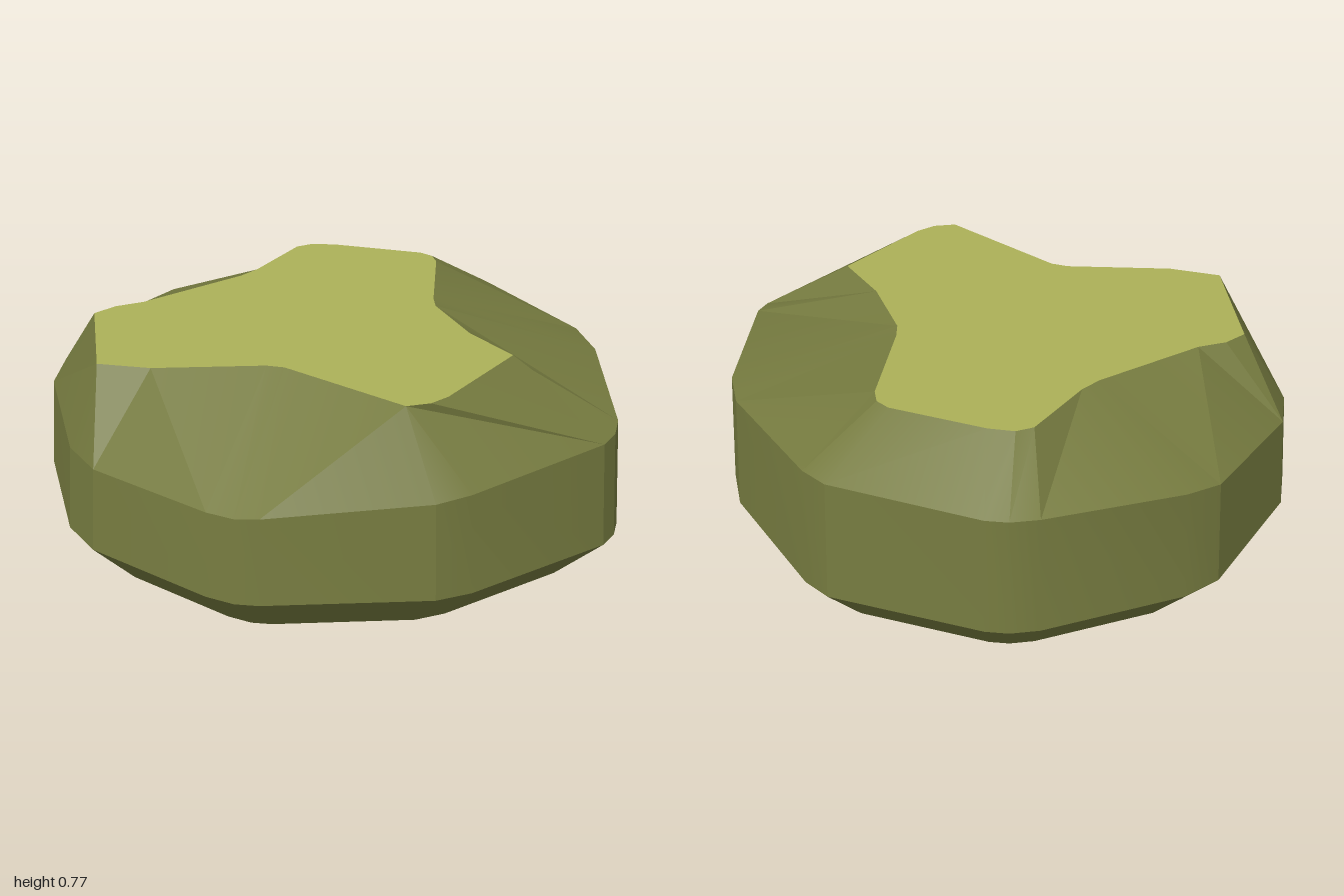
import * as THREE from 'three';
import { toCreasedNormals } from 'three/addons/utils/BufferGeometryUtils.js';

// Widest outline of the boulder: x, z, and height of the shoulder above it
const OUTLINE = [
  [-0.1, -0.97, 0.585], [0, -0.985, 0.585], [0.08, -0.975, 0.585],
  [0.6, -0.79, 0.6], [0.68, -0.71, 0.6], [0.96, -0.24, 0.585], [1, -0.06, 0.575],
  [0.975, 0.5, 0.55], [0.95, 0.58, 0.54], [0.9, 0.65, 0.535], [0.42, 0.94, 0.51],
  [0.3, 0.98, 0.5], [-0.26, 0.985, 0.465], [-0.34, 0.97, 0.46], [-0.43, 0.92, 0.46],
  [-0.81, 0.6, 0.46], [-0.9, 0.44, 0.465], [-1, -0.06, 0.49], [-0.97, -0.24, 0.5],
  [-0.7, -0.7, 0.54], [-0.58, -0.79, 0.56],
];

// Top plateau: x, z, and the first shoulder point each corner slopes down to
const PLATEAU = [
  [-0.08, -0.69, 0], [-0.02, -0.715, 1], [0.07, -0.7, 2], [0.39, -0.58, 3],
  [0.43, -0.54, 3], [0.44, -0.48, 4], [0.39, -0.1, 5], [0.39, -0.03, 6],
  [0.48, 0.23, 7], [0.6, 0.43, 8], [0.35, 0.74, 9], [0.29, 0.785, 9],
  [0.21, 0.8, 9], [-0.16, 0.47, 12], [-0.22, 0.45, 13], [-0.6, 0.44, 14],
  [-0.78, 0.39, 15], [-0.82, -0.06, 17], [-0.75, -0.12, 18], [-0.65, -0.155, 18],
  [-0.3, -0.39, 19], [-0.24, -0.45, 20],
];

const BASE_SCALE = 0.843, SHOULDER_SCALE = 0.98, BELLY_Y = 0.165;
const topY = (x) => 0.762 + 0.014 * x;

function facets(triangles) {
  const geometry = new THREE.BufferGeometry();
  geometry.setAttribute('position', new THREE.Float32BufferAttribute(triangles.flat(2), 3));
  return toCreasedNormals(geometry, 0.3);
}

// Closed wall between two rings with the same number of points
function wall(lower, upper) {
  const triangles = [];
  lower.forEach((a, i) => {
    const j = (i + 1) % lower.length;
    triangles.push([a, upper[i], upper[j]], [a, upper[j], lower[j]]);
  });
  return facets(triangles);
}

// Slopes fanning from each plateau corner to its run of shoulder points
function slopes(top, shoulder) {
  const triangles = [], n = shoulder.length;
  top.forEach((corner, i) => {
    const next = (i + 1) % top.length;
    const end = next === 0 ? n : PLATEAU[next][2];
    for (let s = PLATEAU[i][2]; s < end; s++) {
      triangles.push([corner, shoulder[(s + 1) % n], shoulder[s]]);
    }
    triangles.push([corner, top[next], shoulder[end % n]]);
  });
  return facets(triangles);
}

// Flat cap over a ring, facing up (1) or down (-1)
function cap(ring, facing) {
  const shape = new THREE.Shape(ring.map(([x, , z]) => new THREE.Vector2(x, -z * facing)));
  return new THREE.ShapeGeometry(shape).rotateX(-facing * Math.PI / 2);
}

export function createModel() {
  const model = new THREE.Group();
  model.name = 'boulder';

  const stone = new THREE.MeshStandardMaterial({ color: 0x757a3f });
  stone.name = 'olive stone';
  const moss = new THREE.MeshStandardMaterial({ color: 0xacb158 });
  moss.name = 'light moss';

  const add = (name, geometry, material) => {
    const mesh = new THREE.Mesh(geometry, material);
    mesh.name = name;
    model.add(mesh);
  };

  // Cross-sections from the ground up
  const base = OUTLINE.map(([x, z]) => [x * BASE_SCALE, 0, z * BASE_SCALE]);
  const belly = OUTLINE.map(([x, z]) => [x, BELLY_Y, z]);
  const shoulder = OUTLINE.map(([x, z, y]) => [x * SHOULDER_SCALE, y, z * SHOULDER_SCALE]);
  const top = PLATEAU.map(([x, z]) => [x, topY(x), z]);

  add('underside', cap(base, -1), stone);
  add('lowerBevel', wall(base, belly), stone);
  add('sideWall', wall(belly, shoulder), stone);
  add('upperSlopes', slopes(top, shoulder), stone);

  // Gently tilted plateau
  const plateau = cap(top, 1);
  const position = plateau.attributes.position;
  for (let i = 0; i < position.count; i++) position.setY(i, topY(position.getX(i)));
  plateau.computeVertexNormals();
  add('topPlateau', plateau, moss);

  return model;
}
